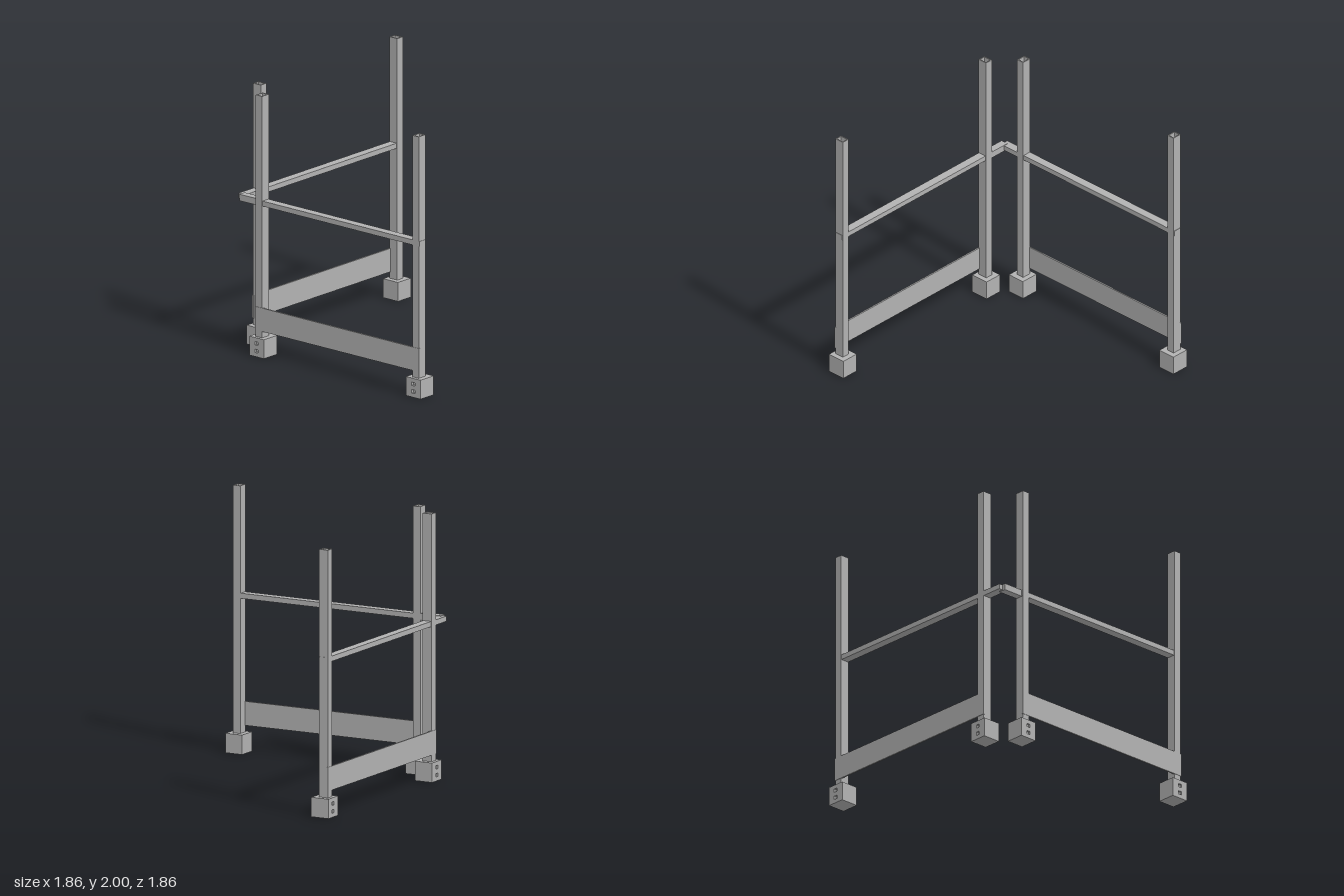
import * as THREE from 'three';

const steel = new THREE.MeshStandardMaterial({ color: 0xb2b2b2 });
steel.name = 'grey steel';

const LINE = 0.861;      // distance of each run from the centre
const POSTS = [-0.662, 0.861];

// Box given by its limits on each axis
function block(name, [x0, x1], [y0, y1], [z0, z1]) {
  const mesh = new THREE.Mesh(new THREE.BoxGeometry(x1 - x0, y1 - y0, z1 - z0), steel);
  mesh.position.set((x0 + x1) / 2, (y0 + y1) / 2, (z0 + z1) / 2);
  mesh.name = name;
  return mesh;
}

// Rectangle centred on (x, y)
function rect(Type, x, y, w, h) {
  return new Type([[-1, -1], [1, -1], [1, 1], [-1, 1]].map(
    ([i, j]) => new THREE.Vector2(x + i * w / 2, y + j * h / 2)));
}

function extruded(name, shape, depth) {
  const mesh = new THREE.Mesh(
    new THREE.ExtrudeGeometry(shape, { depth, bevelEnabled: false }), steel);
  mesh.name = name;
  return mesh;
}

// Hollow rectangular upright, open at the top
function post() {
  const shape = rect(THREE.Shape, 0, 0, 0.062, 0.076);
  shape.holes.push(rect(THREE.Path, 0, 0, 0.046, 0.06));
  const mesh = extruded('post', shape, 1.88);
  mesh.rotation.x = -Math.PI / 2;
  mesh.position.y = 0.12;
  return mesh;
}

// Foot block with two square sockets on its outer (+z) face
function foot() {
  const group = new THREE.Group();
  group.name = 'foot';
  group.add(block('footBlock', [-0.071, 0.071], [0, 0.146], [-0.081, 0.046]));
  const plate = rect(THREE.Shape, 0, 0.073, 0.142, 0.146);
  for (const y of [0.044, 0.102]) plate.holes.push(rect(THREE.Path, 0, y, 0.03, 0.026));
  const face = extruded('footSocketFace', plate, 0.018);
  face.position.z = 0.046;
  group.add(face);
  return group;
}

// One straight side along x; out is the sign of its outer z direction
function side(name, out, railStart) {
  const group = new THREE.Group();
  group.name = name;
  const across = (a, b) => [out * a, out * b].sort((p, q) => p - q);
  for (const x of POSTS) {
    const upright = post();
    upright.position.x = x;
    upright.position.z = out * LINE;
    const base = foot();
    base.position.set(x, 0, out * LINE);
    base.rotation.y = out > 0 ? 0 : Math.PI;
    group.add(upright, base);
  }
  group.add(block('rail', [railStart, 0.896], [1.157, 1.196], across(0.828, 0.895)));
  group.add(block('toeBoard', [-0.698, 0.896], [0.196, 0.376], across(0.89, 0.902)));
  return group;
}

export function createModel() {
  const model = new THREE.Group();
  model.name = 'cornerGuardRail';

  const back = side('backSide', -1, -0.86);
  const right = side('rightSide', 1, -0.698);
  right.rotation.y = -Math.PI / 2;

  // Short sleeve joining the two rails at the corner
  const sleeve = block('cornerSleeve', [-0.887, -0.828], [1.15, 1.2], [-0.863, -0.66]);

  model.add(back, right, sleeve);
  return model;
}
